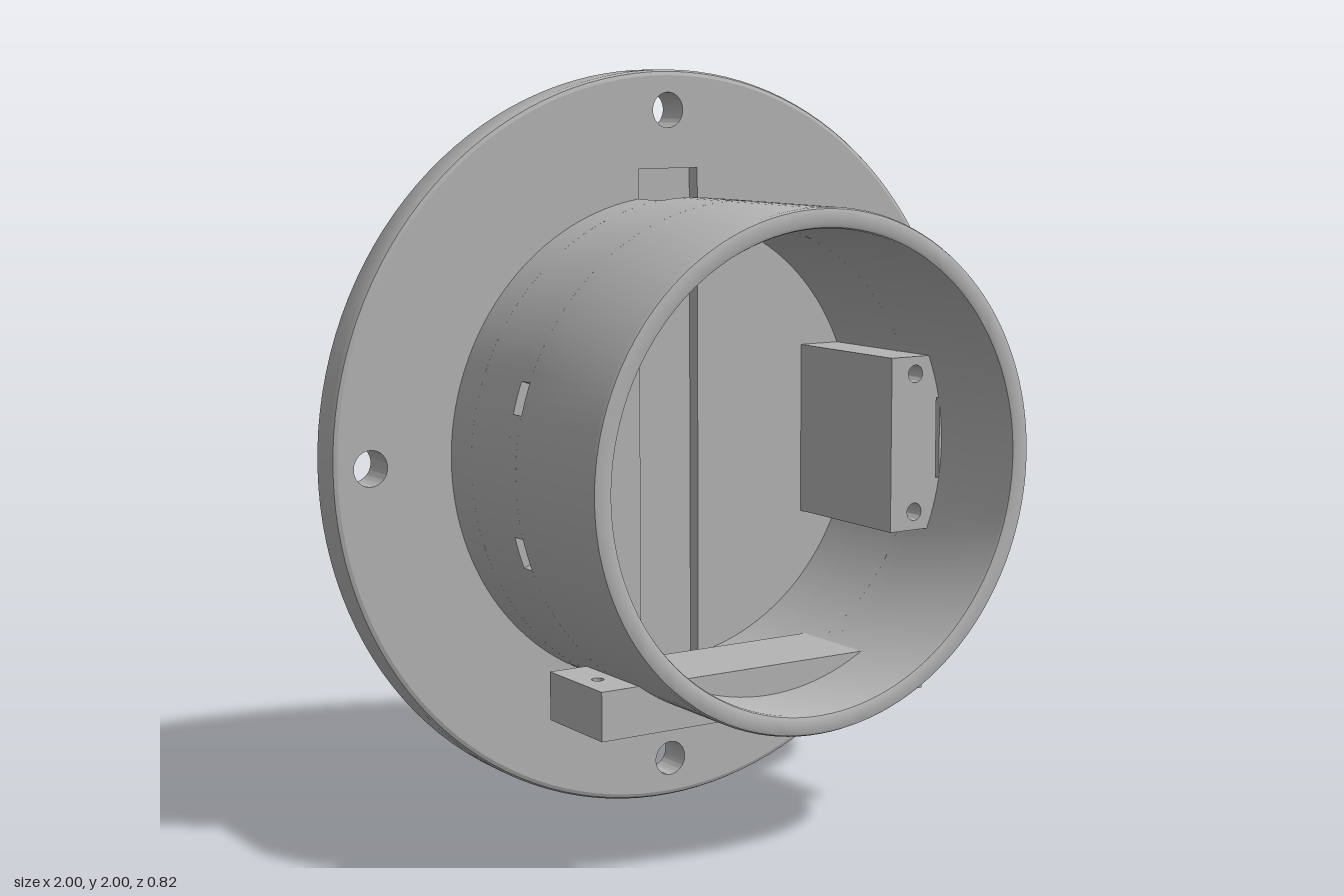
import * as THREE from 'three';
import { toCreasedNormals } from 'three/addons/utils/BufferGeometryUtils.js';

const CY = 1;               // height of the main axis
const RO = 0.665, RI = 0.612; // tube radii
const FRONT = 0.41, FACE = -0.31, BACK = -0.41; // z of rim, flange face, flange back

export function createModel() {
  const model = new THREE.Group();
  model.name = 'flangedTube';
  const grey = new THREE.MeshStandardMaterial({ color: 0xb4b4b4 });
  grey.name = 'grey plastic';

  const add = (name, geometry, parent = model) => {
    const mesh = new THREE.Mesh(toCreasedNormals(geometry, 0.6), grey);
    mesh.name = name;
    parent.add(mesh);
    return mesh;
  };
  // Extrude a shape between two depths
  const slab = (shape, z0, z1, curveSegments = 32) =>
    new THREE.ExtrudeGeometry(shape, { depth: z1 - z0, bevelEnabled: false, curveSegments }).translate(0, 0, z0);
  const circle = (x, y, r) => new THREE.Path().absarc(x, y, r, 0, Math.PI * 2, false);
  const lathe = (pts) =>
    new THREE.LatheGeometry(pts.map(([r, z]) => new THREE.Vector2(r, z)), 128).rotateX(Math.PI / 2);

  const body = new THREE.Group();
  body.name = 'body';
  body.position.y = CY;
  model.add(body);

  // Flange: drilled back layer, grooved front layer and a softened edge
  const GROOVE = FACE - 0.04;
  const disc = () => {
    const s = new THREE.Shape().absarc(0, 0, 0.985, 0, Math.PI * 2, false);
    for (let i = 0; i < 4; i++) {
      const a = i * Math.PI / 2;
      s.holes.push(circle(0.893 * Math.cos(a), 0.893 * Math.sin(a), 0.047));
    }
    return s;
  };
  add('flangeBack', slab(disc(), BACK, GROOVE, 64), body);
  const grooved = disc();
  grooved.holes.push(new THREE.Path([[-0.093, -0.73], [0.093, -0.73], [0.093, 0.738], [-0.093, 0.738]]
    .map(([x, y]) => new THREE.Vector2(x, y))));
  add('flangeFront', slab(grooved, GROOVE, FACE, 64), body);
  add('flangeEdge', lathe([[0.985, BACK], [0.995, BACK + 0.004], [1, BACK + 0.014],
    [1, FACE - 0.014], [0.995, FACE - 0.004], [0.985, FACE]]), body);

  // Tube wall, stacked along z, with openings given as angle gaps
  const wall = (name, z0, z1, gaps) => {
    gaps.forEach(([, start], i) => {
      const end = i + 1 < gaps.length ? gaps[i + 1][0] : gaps[0][0] + Math.PI * 2;
      const s = new THREE.Shape();
      s.absarc(0, 0, RO, start, end, false);
      s.absarc(0, 0, RI, end, start, true);
      add(name, slab(s, z0, z1, Math.max(4, Math.round((end - start) * 20))), body);
    });
  };
  const ring = new THREE.Shape().absarc(0, 0, RO, 0, Math.PI * 2, false);
  ring.holes.push(circle(0, 0, RI));

  const slotHalf = 0.142, up = Math.PI / 2;
  wall('slottedWall', FACE, -0.2, [[up - slotHalf, up + slotHalf], [3 * up - slotHalf, 3 * up + slotHalf]]);
  add('middleWall', slab(ring, -0.2, -0.008, 64), body);
  const a = 0.235, b = 0.362, PI = Math.PI;
  wall('windowedWall', -0.008, 0.033, [[a, b], [PI - b, PI - a], [PI + a, PI + b], [2 * PI - b, 2 * PI - a]]);
  add('frontWall', lathe([[RI, FRONT - 0.012], [RI, 0.033], [RO, 0.033], [RO, FRONT - 0.012],
    [RO - 0.004, FRONT - 0.003], [RO - 0.012, FRONT], [RI + 0.012, FRONT], [RI + 0.003, FRONT - 0.004],
    [RI, FRONT - 0.012]]), body);

  // Side brackets: a block against the wall, with screw holes and a notch in front
  const bracketShape = (side, notched) => {
    const x = 0.44, y = 0.237, r = 0.625, t = Math.asin(y / r);
    const s = new THREE.Shape();
    if (side > 0) {
      s.moveTo(x, y);
      s.lineTo(x, -y);
      s.absarc(0, 0, r, -t, t, false);
    } else {
      s.moveTo(-x, -y);
      if (notched) {
        s.lineTo(-x, -0.125);
        s.lineTo(-0.475, -0.125);
        s.quadraticCurveTo(-0.518, -0.12, -0.518, -0.07);
        s.lineTo(-0.518, 0.075);
        s.quadraticCurveTo(-0.518, 0.122, -0.475, 0.125);
        s.lineTo(-x, 0.125);
      }
      s.lineTo(-x, y);
      s.absarc(0, 0, r, Math.PI - t, Math.PI + t, false);
    }
    s.closePath();
    return s;
  };
  for (const side of [-1, 1]) {
    const bracket = new THREE.Group();
    bracket.name = side > 0 ? 'leftBracket' : 'rightBracket';
    body.add(bracket);
    const front = bracketShape(side, true);
    for (const y of [-0.187, 0.19]) front.holes.push(circle(side * 0.52, y, 0.024));
    if (side > 0) {
      front.holes.push(new THREE.Path([[0.592, -0.1], [0.604, -0.1], [0.604, 0.12], [0.592, 0.12]]
        .map(([x, y]) => new THREE.Vector2(x, y))));
    }
    add('bracketFront', slab(front, -0.02, 0.11), bracket);
    add('bracketBase', slab(bracketShape(side, false), FACE, -0.02), bracket);
  }

  // Cross bar through the bottom of the tube, with screw holes at its ends
  const bar = new THREE.Shape([[-0.505, -0.17], [0.505, -0.17], [0.505, 0.09], [-0.505, 0.09]]
    .map(([x, z]) => new THREE.Vector2(x, z)));
  for (const x of [-0.445, 0.445]) bar.holes.push(circle(x, -0.05, 0.016));
  add('crossBar', slab(bar, 0, 0.128).rotateX(-Math.PI / 2).translate(0, 0.338, 0));

  return model;
}
